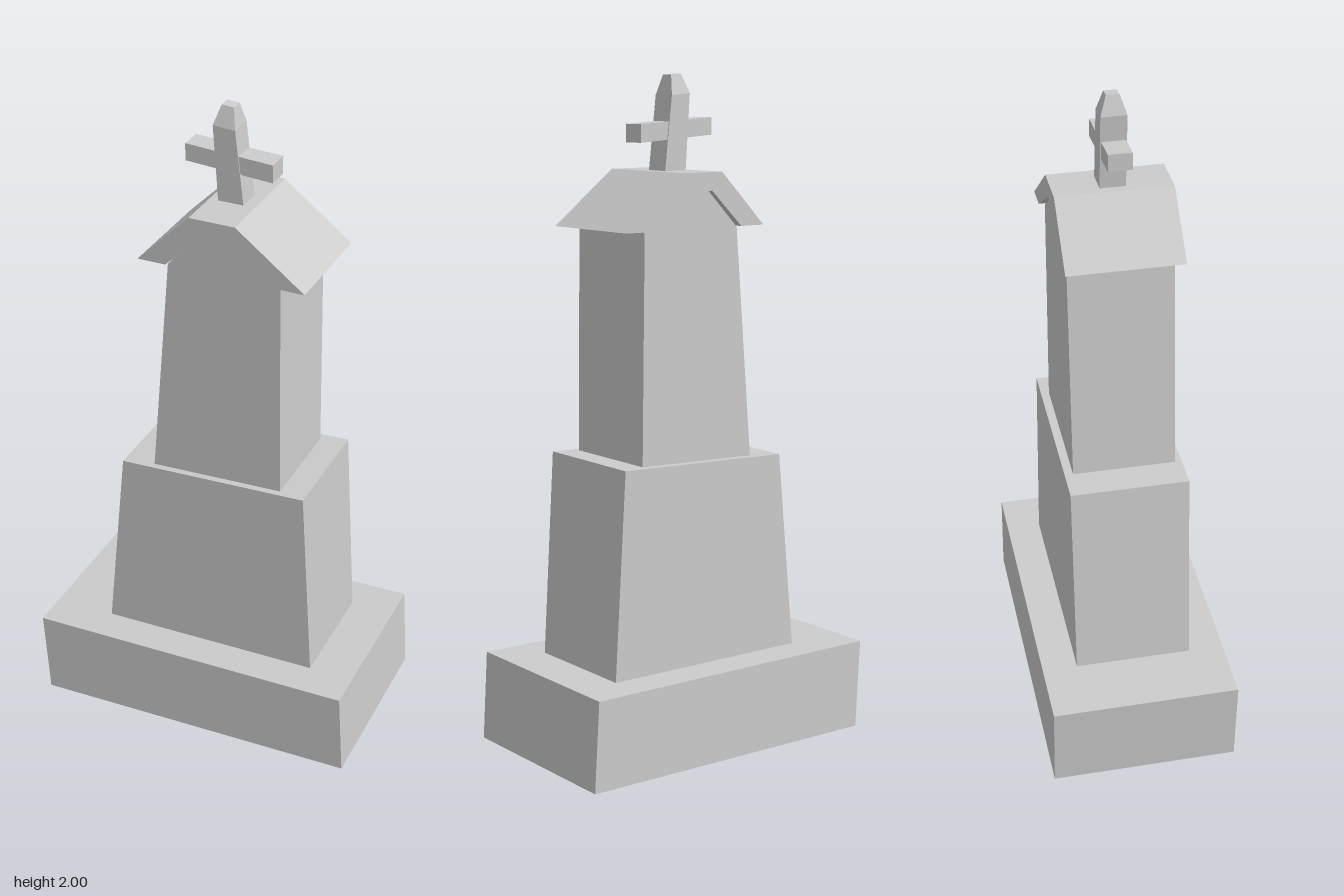
import * as THREE from 'three';

const material = new THREE.MeshStandardMaterial({ color: 0xcccccc, flatShading: true });

// Prism with a front outline, spanning z = back..front
function prism(name, outline, back, front) {
  const shape = new THREE.Shape(outline.map(([x, y]) => new THREE.Vector2(x, y)));
  const geometry = new THREE.ExtrudeGeometry(shape, { depth: front - back, bevelEnabled: false });
  geometry.translate(0, 0, back);
  const mesh = new THREE.Mesh(geometry, material);
  mesh.name = name;
  return mesh;
}

export function createModel() {
  const model = new THREE.Group();
  model.name = 'gravestone';

  // Sunken, leaning base and the two tapered tiers
  model.add(prism('base', [[-0.5, 0], [0.512, 0.04], [0.495, 0.305], [-0.514, 0.273]], -0.28, 0.28));
  model.add(prism('plinth', [[-0.323, 0.278], [0.358, 0.3], [0.319, 0.91], [-0.261, 0.882]], -0.175, 0.175));
  model.add(prism('shaft', [
    [-0.166, 0.885], [0.239, 0.905], [0.229, 1.567], [0.068, 1.675], [0, 1.675], [-0.108, 1.567],
  ], -0.15, 0.155));

  // Folded roof slab
  model.add(prism('roof', [
    [-0.195, 1.57], [-0.11, 1.57], [0, 1.675], [0.068, 1.675],
    [0.228, 1.57], [0.305, 1.57], [0.1, 1.727], [-0.037, 1.727],
  ], -0.168, 0.168));

  // Tilted cross with a tapered tip
  const cross = new THREE.Group();
  cross.name = 'cross';
  cross.add(prism('crossPost', [[-0.01, 1.72], [0.066, 1.72], [0.04, 1.94], [-0.026, 1.945]], -0.037, 0.037));
  cross.add(prism('crossArms', [[-0.11, 1.826], [0.15, 1.808], [0.15, 1.86], [-0.11, 1.876]], -0.034, 0.034));
  const tip = prism('crossTip', [[-0.026, 1.945], [0.04, 1.94], [0.028, 1.997], [-0.008, 2]], -0.037, 0.037);
  const position = tip.geometry.attributes.position;
  for (let i = 0; i < position.count; i++) {
    if (position.getY(i) > 1.97) position.setZ(i, position.getZ(i) * 0.5);
  }
  tip.geometry.computeVertexNormals();
  cross.add(tip);
  model.add(cross);

  return model;
}
